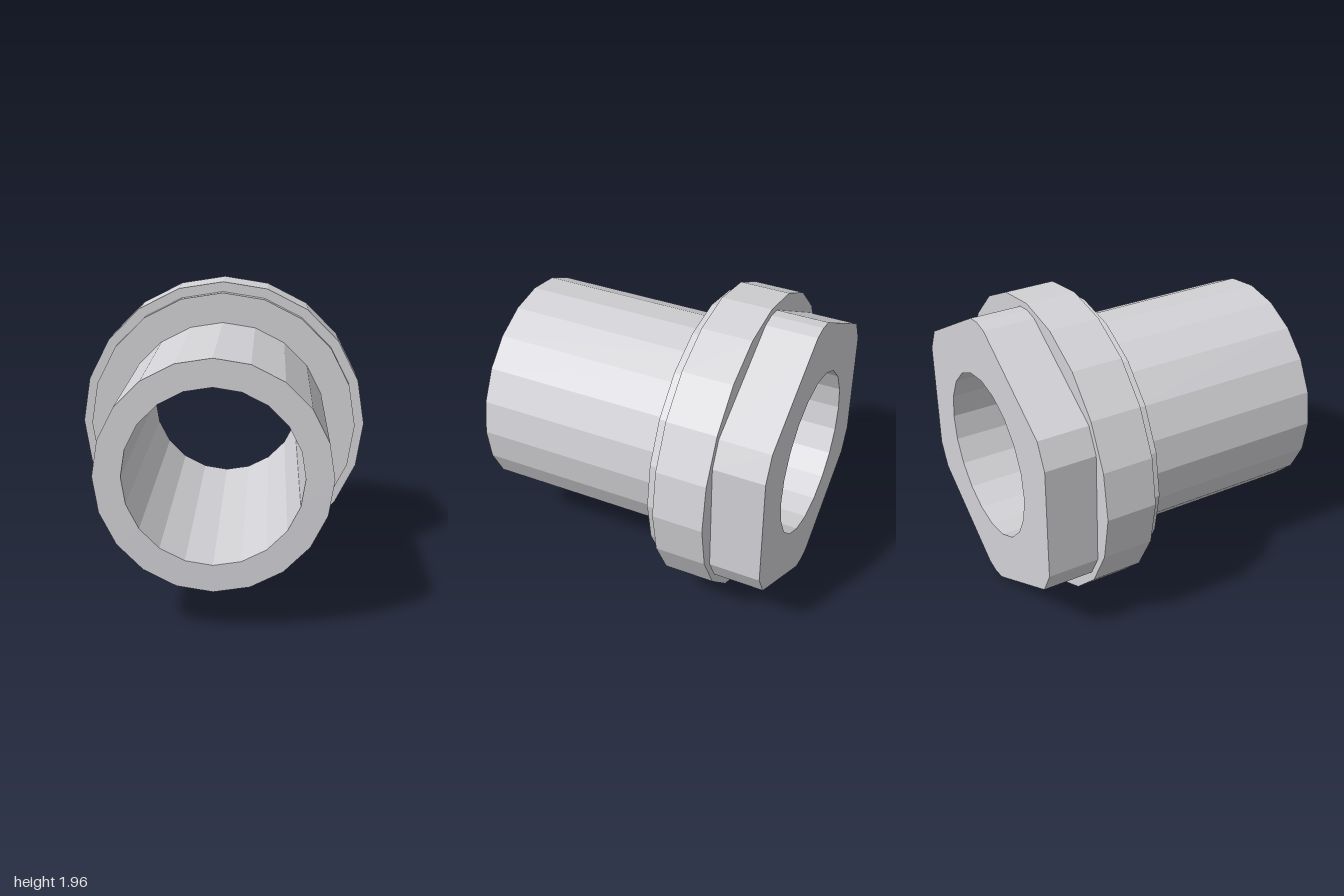
import * as THREE from 'three';

const SIDES = 20;
const CENTER_Y = 0.982;
const BORE = 0.543;
const NUT_FRONT = -0.672;
const COLLAR_FRONT = -0.348;
const SHOULDER_FRONT = -0.281;

const steel = new THREE.MeshStandardMaterial({ color: 0xd3d3d7 });
steel.name = 'steel';

// Faceted mesh with one normal per face
function facetedMesh(name, geometry) {
  const flat = geometry.index ? geometry.toNonIndexed() : geometry;
  flat.computeVertexNormals();
  const mesh = new THREE.Mesh(flat, steel);
  mesh.name = name;
  return mesh;
}

// Turned surface around the z axis from [radius, z] pairs
function turned(name, profile) {
  const points = profile.map(([r, z]) => new THREE.Vector2(r, z));
  return facetedMesh(name, new THREE.LatheGeometry(points, SIDES).rotateX(Math.PI / 2));
}

// Hexagonal end with trimmed corners and a through hole
function hexNut() {
  const quarter = [[0, 0.94], [0.096, 0.925], [0.768, 0.537], [0.85, 0.377]];
  const right = [...quarter, ...quarter.map(([x, y]) => [x, -y]).reverse()];
  const left = right.slice(1, -1).map(([x, y]) => [-x, y]).reverse();
  // Outline runs counter-clockwise, so the extrusion turns the hole wall inwards
  const outline = [...right.slice(0, 4), ...right.slice(4, 7), ...left.slice(0, 3), ...left.slice(3)]
    .map(([x, y]) => new THREE.Vector2(x, y))
    .filter((p, i, all) => i === 0 || !p.equals(all[i - 1]))
    .reverse();
  const shape = new THREE.Shape([...outline, new THREE.Vector2(0, -0.94)].sort(
    (a, b) => Math.atan2(a.y, a.x) - Math.atan2(b.y, b.x),
  ));
  const hole = [];
  for (let i = 0; i < SIDES; i++) {
    const a = (i / SIDES) * Math.PI * 2;
    hole.push(new THREE.Vector2(BORE * Math.sin(a), BORE * Math.cos(a)));
  }
  shape.holes.push(new THREE.Path(hole));
  const geometry = new THREE.ExtrudeGeometry(shape, { depth: 1 + NUT_FRONT, bevelEnabled: false });
  return facetedMesh('hexNut', geometry.translate(0, 0, -1));
}

export function createModel() {
  const model = new THREE.Group();
  model.name = 'pipeFitting';
  const body = new THREE.Group();
  body.name = 'fittingBody';
  body.position.y = CENTER_Y;
  body.add(
    hexNut(),
    turned('collar', [[0.8, NUT_FRONT], [0.982, NUT_FRONT], [0.982, COLLAR_FRONT], [0.915, COLLAR_FRONT]]),
    turned('shoulder', [[0.915, COLLAR_FRONT], [0.915, SHOULDER_FRONT], [0.713, SHOULDER_FRONT]]),
    turned('sleeve', [[0.713, SHOULDER_FRONT], [0.713, 1], [BORE, 1]]),
    turned('bore', [[BORE, 1], [BORE, NUT_FRONT]]),
  );
  model.add(body);
  return model;
}
